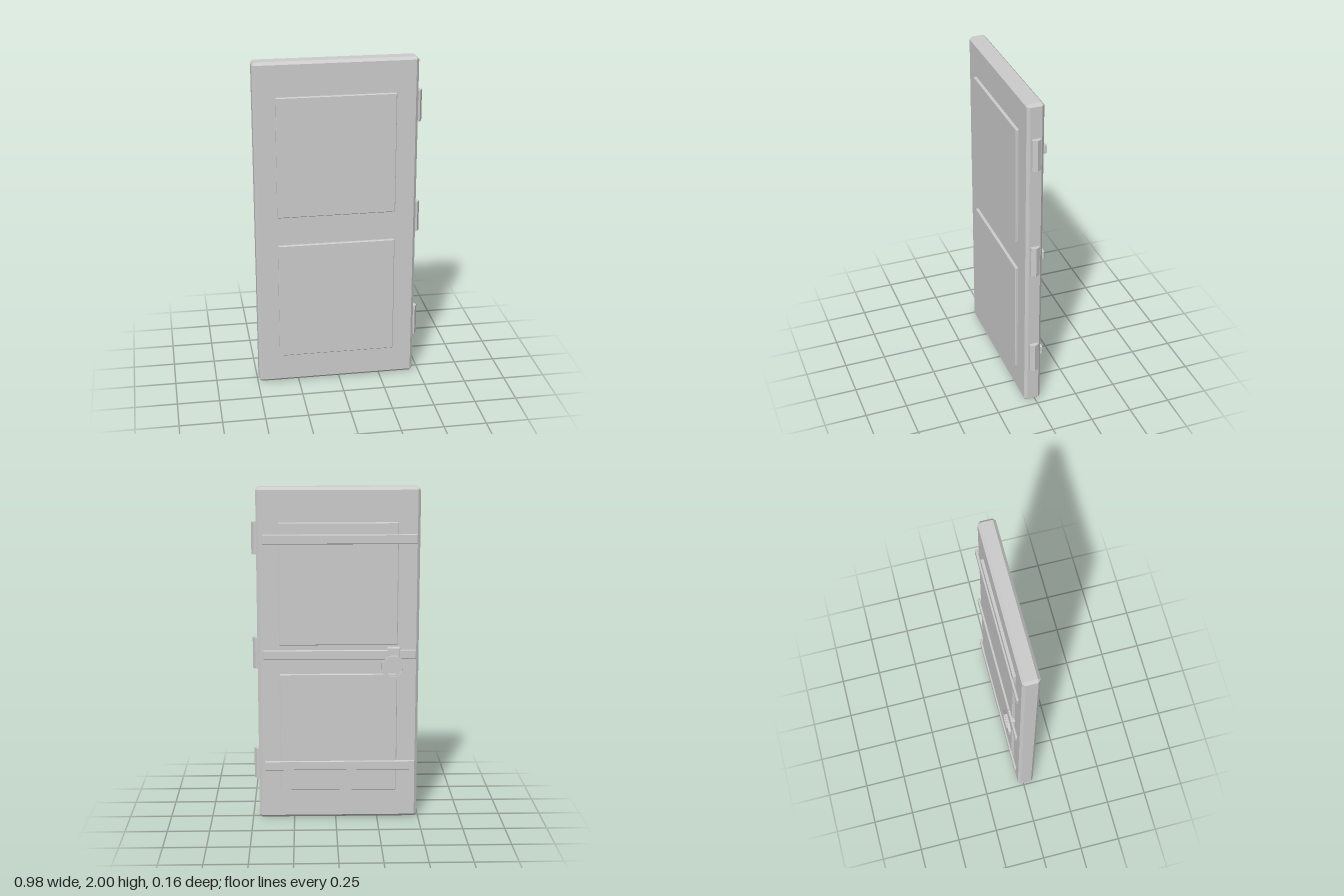
import * as THREE from 'three';
import { ConvexGeometry } from 'three/addons/geometries/ConvexGeometry.js';

const material = new THREE.MeshStandardMaterial({ color: 0xcccccc, flatShading: true });

// Box with all edges chamfered by c
function chamferBox(w, h, d, c) {
  const points = [];
  for (const sx of [-1, 1]) for (const sy of [-1, 1]) for (const sz of [-1, 1]) {
    const x = w / 2, y = h / 2, z = d / 2;
    points.push(
      new THREE.Vector3(sx * x, sy * (y - c), sz * (z - c)),
      new THREE.Vector3(sx * (x - c), sy * y, sz * (z - c)),
      new THREE.Vector3(sx * (x - c), sy * (y - c), sz * z));
  }
  return new ConvexGeometry(points);
}

// Flat octagon with a flat side on top; r is the distance to the flats
function octagon(Type, r) {
  const path = new Type();
  const points = [];
  for (let i = 0; i < 8; i++) {
    const a = (i + 0.5) * Math.PI / 4, R = r / Math.cos(Math.PI / 8);
    points.push(new THREE.Vector2(Math.cos(a) * R, Math.sin(a) * R));
  }
  return path.setFromPoints(points);
}

export function createModel() {
  const door = new THREE.Group();
  door.name = 'door';
  const add = (name, geometry, x, y, z) => {
    const mesh = new THREE.Mesh(geometry, material);
    mesh.name = name;
    mesh.position.set(x, y, z);
    door.add(mesh);
    return mesh;
  };

  const midZ = 0.016;
  add('doorSlab', chamferBox(0.953, 2, 0.1, 0.016), -0.015, 1, midZ);

  // Panels stand proud of both faces
  const panel = chamferBox(0.697, 0.722, 0.132, 0.004);
  add('lowerPanel', panel, -0.016, 0.539, midZ);
  add('upperPanel', panel, -0.016, 1.437, midZ);

  // Hinges on the left edge, straps across the back
  const hinge = new THREE.CylinderGeometry(0.03, 0.03, 0.187, 6);
  hinge.rotateY(Math.PI / 6);
  // Corner of the hexagon must point along +x
  const strap = chamferBox(0.902, 0.056, 0.015, 0.004);
  ['lower', 'middle', 'upper'].forEach((level, i) => {
    add(level + 'Hinge', hinge, 0.46, 0.338 + i * 0.683, midZ);
    add(level + 'Strap', strap, -0.024, 0.336 + i * 0.683, -0.0515);
  });

  // Pull ring and its mount
  add('ringMount', chamferBox(0.08, 0.073, 0.03, 0.006), -0.342, 1.027, -0.046);
  const ringShape = octagon(THREE.Shape, 0.07);
  ringShape.holes.push(octagon(THREE.Path, 0.052));
  add('pullRing', new THREE.ExtrudeGeometry(ringShape, { depth: 0.015, bevelEnabled: false }), -0.34, 0.945, -0.082);

  return door;
}
